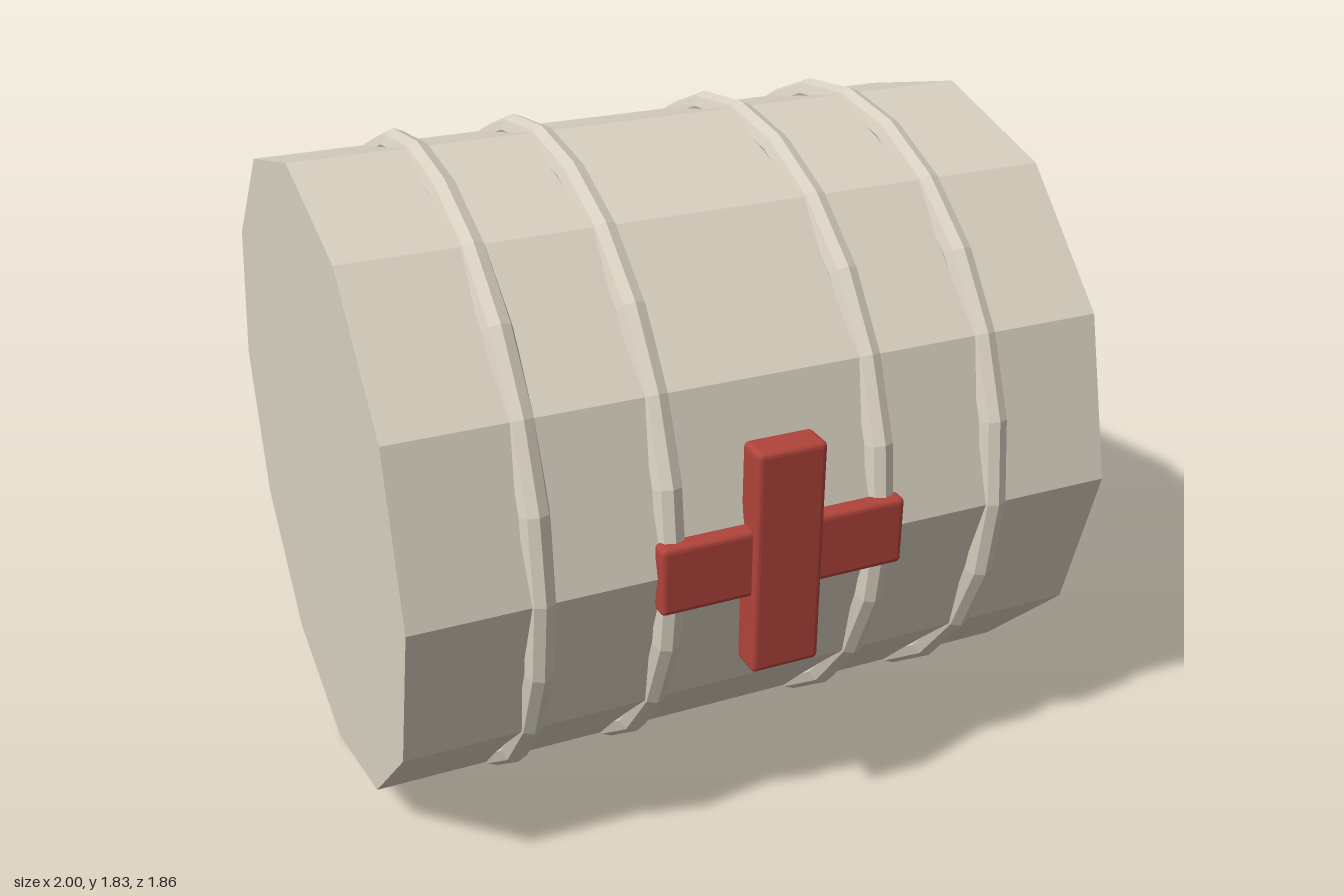
import * as THREE from 'three';
import { RoundedBoxGeometry } from 'three/addons/geometries/RoundedBoxGeometry.js';

export function createModel() {
  const model = new THREE.Group();
  model.name = 'barrel';
  const shell = new THREE.MeshStandardMaterial({ color: 0xd8d0c0, flatShading: true });
  const red = new THREE.MeshStandardMaterial({ color: 0xb0443a, flatShading: true });
  const cy = 0.925, cz = -0.015;

  const add = (name, geometry, material, x, y, z) => {
    const mesh = new THREE.Mesh(geometry, material);
    mesh.name = name;
    mesh.position.set(x, y, z);
    model.add(mesh);
  };

  // Twelve-sided drum lying along x, one corner straight up
  add('drum', new THREE.CylinderGeometry(0.9, 0.9, 2, 12).rotateZ(Math.PI / 2), shell, 0, cy, cz);

  // Four hoops, half sunk into the drum
  for (const x of [-0.65, -0.3, 0.3, 0.65]) {
    add('hoop', new THREE.TorusGeometry(0.877, 0.04, 8, 24).rotateY(Math.PI / 2), shell, x, cy, cz);
  }

  // Raised cross on the front, upright bar proud of the crossbar
  add('crossUpright', new RoundedBoxGeometry(0.195, 0.645, 0.095, 2, 0.015), red, 0, 0.922, 0.884);
  add('crossBar', new RoundedBoxGeometry(0.695, 0.195, 0.055, 2, 0.015), red, 0, 0.922, 0.884);

  return model;
}
